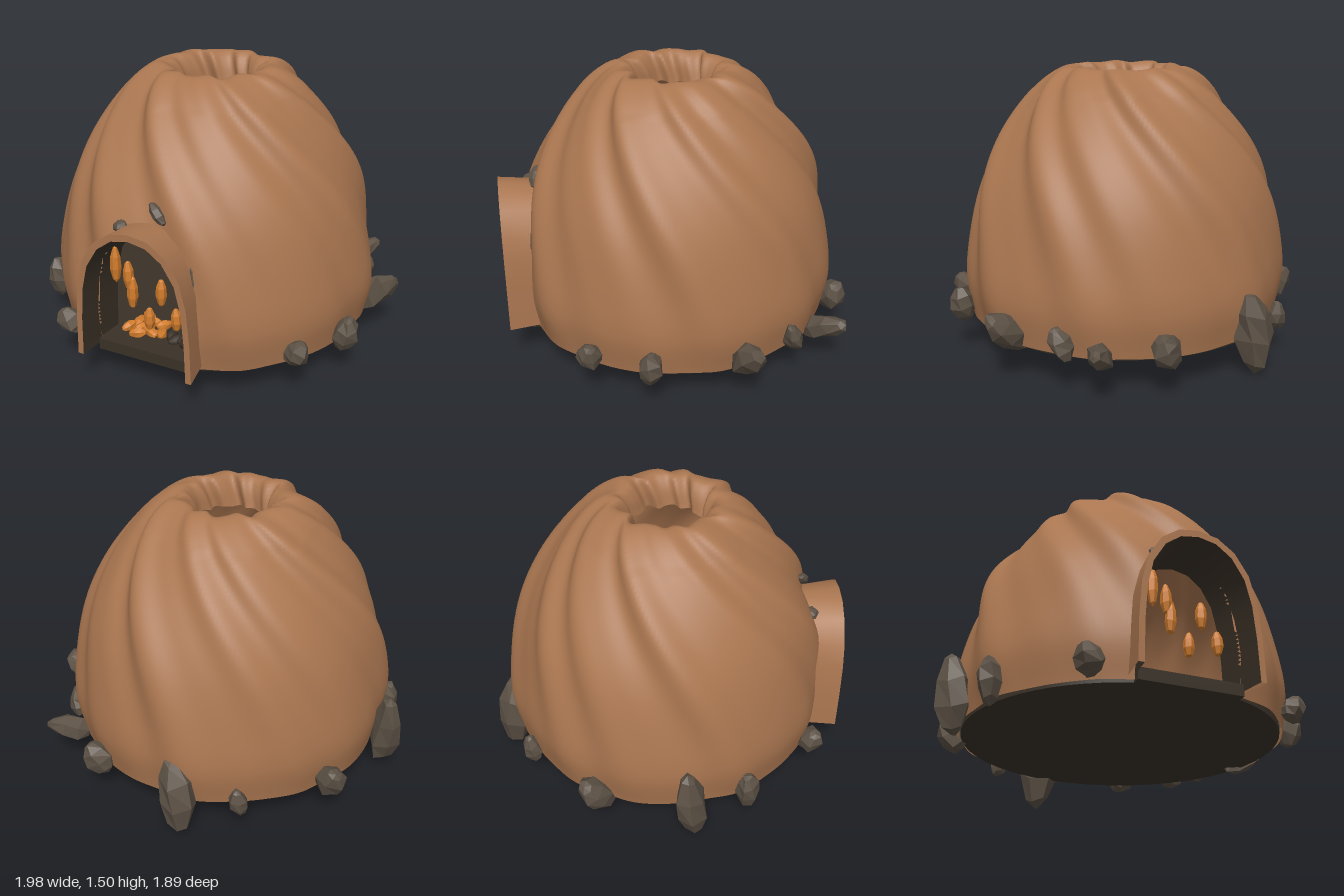
import * as THREE from 'three';

const mat = (name, color, opts = {}) => Object.assign(new THREE.MeshStandardMaterial({ color, ...opts }), { name });

// Arch outline, unit half-width and height, from right foot over the top to left foot
const HALF = [[1, 0], [0.98, 0.3], [0.93, 0.55], [0.82, 0.74], [0.6, 0.89], [0.32, 0.975]];
const ARCH = [...HALF, [0, 1], ...HALF.map(([x, y]) => [-x, y]).reverse()];
const BASE = 0.17;

function archWidth(t) {
  for (let i = 0; i < 6; i++) {
    const [x0, y0] = ARCH[i], [x1, y1] = ARCH[i + 1];
    if (t <= y1) return x0 + (x1 - x0) * (t - y0) / (y1 - y0);
  }
  return -1;
}

// Mound shell with spiralling folds, a sunken vent and a door opening
function domeGeometry() {
  const profile = new THREE.CatmullRomCurve3([
    [0.835, 0.15], [0.865, 0.35], [0.84, 0.57], [0.77, 0.85], [0.665, 1.07], [0.5, 1.3],
    [0.39, 1.41], [0.3, 1.46], [0.25, 1.457], [0.212, 1.4], [0.195, 1.31],
  ].map(([r, y]) => new THREE.Vector3(r, y, 0)));
  const rows = 80, cols = 216, pos = [], index = [];
  for (let i = 0; i <= rows; i++) {
    const s = i / rows, p = profile.getPointAt(s);
    const amp = 0.006 + 0.013 * Math.sin(Math.PI * Math.min(1, s * 0.8));
    for (let j = 0; j < cols; j++) {
      const a = j / cols * Math.PI * 2;
      const b = a + 1.15 * s * s + 0.25 * s;
      const fold = Math.cos(11 * b) + 0.5 * Math.cos(7 * b + 1) + 0.4 * Math.cos(18 * b + 2);
      const r = p.x + amp * fold;
      const y = p.y + (s > 0.75 ? 0.004 * Math.cos(9 * b) : 0);
      pos.push(r * Math.sin(a), y, r * Math.cos(a));
    }
  }
  const tri = (...t) => {
    const c = k => t.reduce((sum, v) => sum + pos[v * 3 + k], 0) / 3;
    const up = (c(1) - BASE) / 0.69;
    if (c(2) > 0 && up < 1 && Math.abs(c(0)) < 0.262 * archWidth(Math.max(0, up))) return;
    index.push(...t);
  };
  for (let i = 0; i < rows; i++) for (let j = 0; j < cols; j++) {
    const a = i * cols + j, b = i * cols + (j + 1) % cols;
    tri(a, b, b + cols);
    tri(a, b + cols, a + cols);
  }
  const g = new THREE.BufferGeometry();
  g.setAttribute('position', new THREE.Float32BufferAttribute(pos, 3));
  g.setIndex(index);
  g.computeVertexNormals();
  return g;
}

// Strip joining two arches given as [halfWidth, height, z]
function archStrip(a, b) {
  const pos = [], index = [];
  for (const [x, y] of ARCH)
    for (const [w, h, z] of [a, b]) pos.push(x * w, BASE + y * h, z);
  for (let i = 0; i < ARCH.length - 1; i++) {
    const k = i * 2;
    index.push(k, k + 2, k + 1, k + 1, k + 2, k + 3);
  }
  const g = new THREE.BufferGeometry();
  g.setAttribute('position', new THREE.Float32BufferAttribute(pos, 3));
  g.setIndex(index);
  g.computeVertexNormals();
  return g;
}

// Faceted crystal of unit height and width, made irregular by a seed
function crystalGeometry(seed, rough, sides = 6) {
  const pts = [[0, -0.5], [0.3, -0.4], [0.5, -0.12], [0.46, 0.2], [0.22, 0.45], [0, 0.5]];
  const g = new THREE.LatheGeometry(pts.map(p => new THREE.Vector2(...p)), sides);
  const p = g.attributes.position;
  for (let i = 0; i < p.count; i++) {
    const x = p.getX(i), y = p.getY(i), z = p.getZ(i);
    p.setXYZ(i,
      x + rough * Math.sin(seed * 2.3 + 5 * y + 4 * z),
      y + rough * Math.sin(seed * 1.7 + 5 * x + 3 * z),
      z + rough * Math.sin(seed * 3.1 + 6 * x + 4 * y));
  }
  g.computeVertexNormals();
  return g;
}

export function createModel() {
  const model = new THREE.Group();
  model.name = 'moundHut';
  const clay = mat('clay', 0xaa7650, { side: THREE.DoubleSide });
  const soil = mat('darkSoil', 0x3a3127, { side: THREE.DoubleSide });
  const stone = mat('stone', 0x5c5145, { flatShading: true });
  const amber = mat('amber', 0xd17c2c, { flatShading: true });
  const add = (name, geometry, material, parent = model) => {
    const m = new THREE.Mesh(geometry, material);
    m.name = name;
    parent.add(m);
    return m;
  };
  const group = name => {
    const g = new THREE.Group();
    g.name = name;
    model.add(g);
    return g;
  };

  add('moundShell', domeGeometry(), clay);

  // Ground slab, reaching a little above the lower edge of the shell
  add('floor', new THREE.CylinderGeometry(0.82, 0.82, 0.06, 64), soil).position.y = 0.17;

  // Flared entrance: clay outside and rim, dark lining
  const entrance = group('entrance');
  const outF = [0.315, 0.72, 0.935], outB = [0.275, 0.69, 0.66];
  const inF = [0.285, 0.685, 0.935], inB = [0.25, 0.655, 0.66];
  add('entranceOutside', archStrip(outF, outB), clay, entrance);
  add('entranceRim', archStrip(inF, outF), clay, entrance);
  add('entranceLining', archStrip(inB, inF), soil, entrance);
  add('entranceBackEdge', archStrip(outB, inB), soil, entrance);
  const sill = add('doorSill', new THREE.BoxGeometry(0.53, 0.06, 0.2), soil, entrance);
  sill.position.set(0, 0.17, 0.72);

  // Stones round the foot: x, y, z, width, height, outward tilt, sideways tilt
  const stones = group('footStones');
  [
    [-0.91, 0.22, 0.08, 0.17, 0.43, 0.1, 0.05],
    [-0.79, 0.2, -0.4, 0.16, 0.24, 0.5, 0.3],
    [-0.81, 0.22, 0.38, 0.12, 0.24, 0.1, 0.1],
    [-0.47, 0.22, 0.76, 0.14, 0.16, 0.4, 0.2],
    [-0.44, 0.18, -0.75, 0.1, 0.16, 0.2, 0.2],
    [-0.15, 0.21, -0.86, 0.2, 0.44, -0.12, 0.08],
    [0.36, 0.21, -0.82, 0.15, 0.2, 0.4, 0.4],
    [0.64, 0.2, -0.67, 0.13, 0.26, 1.1, 0.1],
    [0.73, 0.22, -0.48, 0.11, 0.17, 0.2, 0.3],
    [0.87, 0.23, -0.2, 0.16, 0.32, 0.85, 0.0],
    [0.86, 0.23, 0.28, 0.13, 0.19, 0.2, 0.1],
    [0.7, 0.23, 0.56, 0.13, 0.14, 0.3, -0.4],
  ].forEach(([x, y, z, w, h, out, side], i) => {
    const m = add('footStone', crystalGeometry(i + 1, 0.06), stone, stones);
    m.position.set(x, y, z);
    m.rotation.set(out, Math.atan2(x, z), side, 'YXZ');
    m.scale.set(w, h, w);
  });

  // Stone chips set into the shell over the door
  [[0.05, 0.92, 0.735, 0.06, 0.13, 0.7], [-0.14, 0.83, 0.76, 0.08, 0.07, 0.3], [0.24, 0.7, 0.75, 0.07, 0.24, 0.2]]
    .forEach(([x, y, z, w, h, lean], i) => {
      const m = add('doorChip', crystalGeometry(i + 20, 0.04), stone);
      m.position.set(x, y, z);
      m.rotation.set(-0.3, 0, lean);
      m.scale.set(w, h, 0.08);
    });

  // Slim amber crystals in the doorway
  const crystals = group('amberCrystals');
  [[-0.17, 0.63, 0.2], [-0.1, 0.58, 0.16], [-0.08, 0.49, 0.18], [0.08, 0.53, 0.15], [0.16, 0.4, 0.13], [0.01, 0.365, 0.13]]
    .forEach(([x, y, h], i) => {
      const m = add('amberCrystal', crystalGeometry(i + 40, 0.02), amber, crystals);
      m.position.set(x, y, 0.78);
      m.rotation.z = 0.06 * Math.sin(i * 2);
      m.scale.set(0.055, h, 0.055);
    });

  // Heaps of amber and dark pebbles on the floor behind the door
  const heap = (name, material, x0, z0, count, size) => {
    const g = group(name);
    for (let i = 0; i < count; i++) {
      const a = i * 2.4, r = 0.034 * Math.sqrt(i);
      const m = add('pebble', crystalGeometry(i + 60, 0.04), material, g);
      m.position.set(x0 + r * Math.cos(a), 0.215, z0 + r * Math.sin(a));
      m.rotation.set(1.45, a, 0, 'YXZ');
      m.scale.set(size, size * 1.7, size);
    }
  };
  heap('amberHeap', amber, -0.08, 0.63, 10, 0.055);
  heap('darkHeap', soil, 0.13, 0.66, 6, 0.055);

  return model;
}
